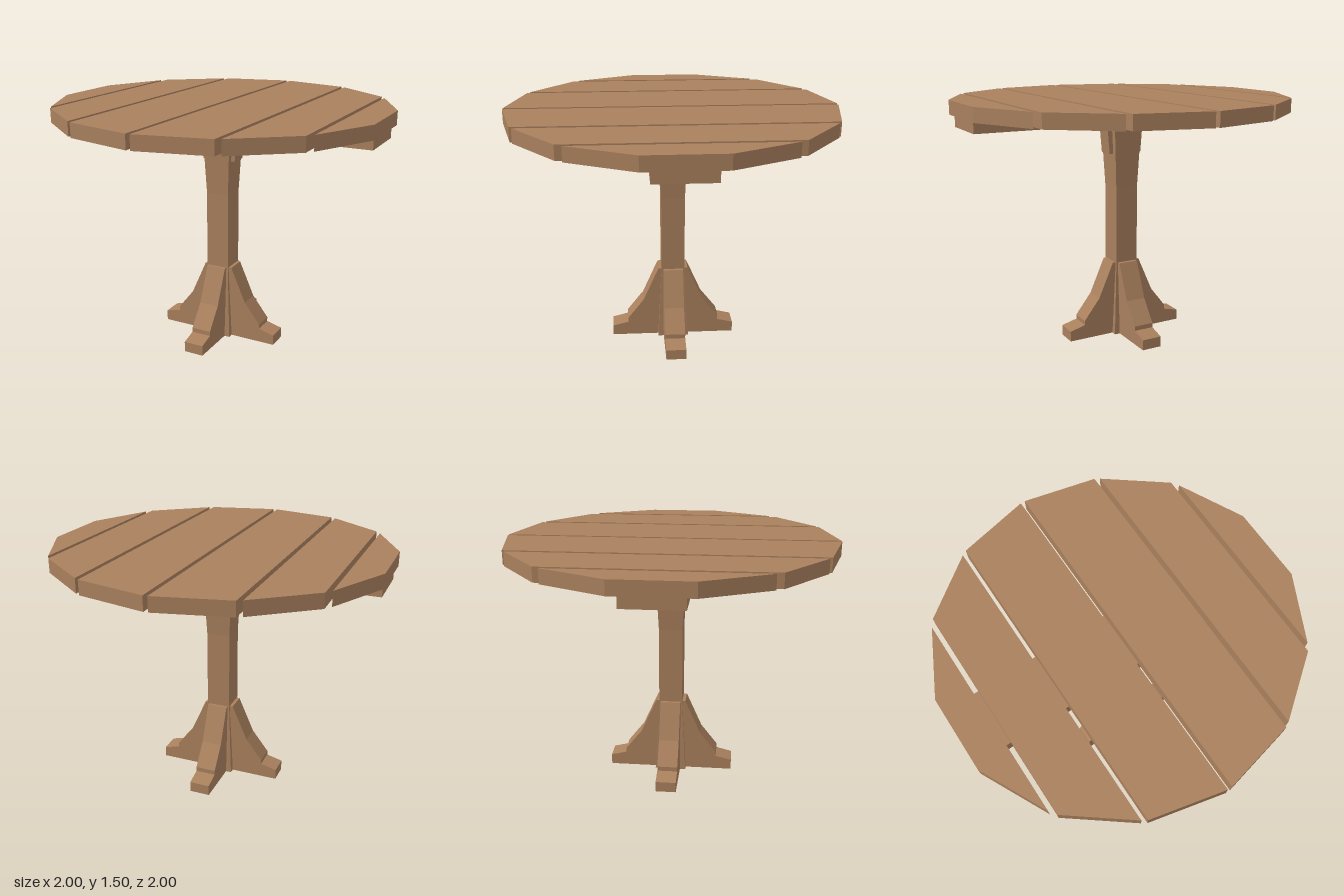
import * as THREE from 'three';

export function createModel() {
  const wood = new THREE.MeshStandardMaterial({ color: 0xa9805d, flatShading: true });
  wood.name = 'warm brown wood';
  const table = new THREE.Group();
  table.name = 'roundPlankTable';

  const add = (name, geometry, parent = table) => {
    const mesh = new THREE.Mesh(geometry, wood);
    mesh.name = name;
    parent.add(mesh);
    return mesh;
  };

  // Extrudes an outline and centres it on its thickness
  const slab = (outline, depth) => {
    const shape = new THREE.Shape(outline.map(([x, y]) => new THREE.Vector2(x, y)));
    return new THREE.ExtrudeGeometry(shape, { depth, bevelEnabled: false }).translate(0, 0, -depth / 2);
  };

  // Table top: six planks cut to a twelve-sided outline, [x, half length] at both edges
  const planks = [
    [[0.013, 1.0], [0.43, 0.905]],
    [[0.458, 0.888], [0.787, 0.636]],
    [[0.815, 0.596], [1.0, 0.223]],
  ];
  const top = new THREE.Group();
  top.name = 'tableTop';
  table.add(top);
  for (const side of [1, -1]) {
    for (const [[x0, z0], [x1, z1]] of planks) {
      const outline = [[x0, -z0], [x1, -z1], [x1, z1], [x0, z0]].map(([x, z]) => [x * side, z]);
      add('plank', slab(outline, 0.084).rotateX(-Math.PI / 2).translate(0, 1.462, 0), top);
    }
  }

  // Crossbar under the planks
  add('crossbar', new THREE.BoxGeometry(1.97, 0.077, 0.34).translate(0, 1.3925, 0));

  // Square post, flared at both ends: [half width, y]
  const profile = [[0, 0], [0.097, 0], [0.073, 0.47], [0.073, 0.95], [0.092, 1.355], [0, 1.355]]
    .map(([w, y]) => new THREE.Vector2(w * Math.SQRT2, y));
  add('post', new THREE.LatheGeometry(profile, 4).rotateY(Math.PI / 4));

  // Four feet around the post
  const foot = slab([
    [0.06, 0], [0.392, 0], [0.392, 0.065], [0.293, 0.09], [0.293, 0.118],
    [0.19, 0.25], [0.093, 0.47], [0.06, 0.47],
  ], 0.125);
  for (let i = 0; i < 4; i++) add('foot', foot).rotation.y = i * Math.PI / 2;

  // Brackets joining the post to the crossbar
  const bracket = slab([
    [0.06, 1.16], [0.107, 1.16], [0.121, 1.326], [0.228, 1.326], [0.228, 1.356], [0.06, 1.356],
  ], 0.104);
  for (let i = 0; i < 2; i++) add('bracket', bracket).rotation.y = i * Math.PI;

  return table;
}
